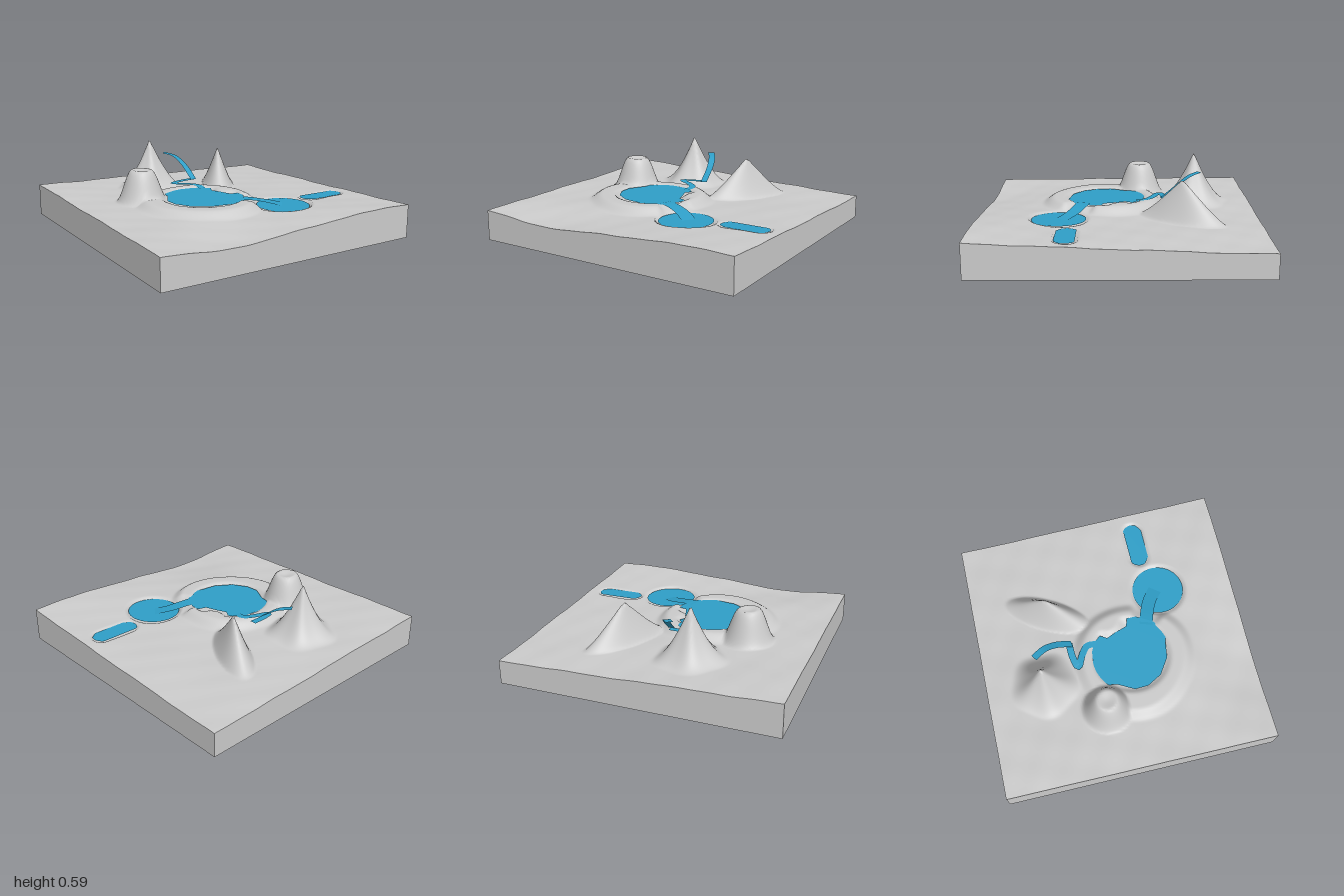
import * as THREE from 'three';

const { smoothstep, lerp } = THREE.MathUtils;
// smoothstep that falls from 1 at a to 0 at b
const fall = (v, a, b) => 1 - smoothstep(v, a, b);
const gauss = (v, w) => Math.exp(-(v * v) / (w * w));
const pondDistance = (x, z) => Math.hypot(x - THREE.MathUtils.clamp(x, 0.62, 0.84), z - 0.36);

// gently rolling ground
function ground(x, z) {
  const u = (x + 1) / 2, v = (z + 1) / 2;
  let y = lerp(lerp(0.24, 0.17, u), lerp(0.22, 0.235, u), v);
  y += smoothstep(z, 0.45, 1) * (0.022 * gauss(x - 0.7, 0.3) - 0.042 * gauss(x + 0.4, 0.38));
  y += 0.004 * Math.sin(7 * x + 3 * z) * Math.sin(6 * z - 2 * x + 1);
  y += 0.002 * Math.sin(19 * x - 8 * z) * Math.sin(17 * z + 5 * x);
  return y;
}

function terrainHeight(x, z) {
  const base = ground(x, z);

  // raised lake rim with an outlet gap
  const rx = x + 0.2, rz = z - 0.12, r = Math.hypot(rx, rz);
  const angle = Math.atan2(rz, rx);
  const gap = fall(Math.abs(angle - 0.49), 0.2, 0.36);
  const wobble = 0.012 * Math.sin(3 * angle + 1);
  const rim = lerp(fall(r + wobble, 0.37, 0.47), fall(r, 0.26, 0.44), gap);
  let y = lerp(base, 0.272, rim);

  // lake bed, with a small headland on its right shore
  const bed = fall(Math.hypot(x + 0.165, z - 0.105), 0.25, 0.31)
    * smoothstep(Math.hypot(x - 0.13, z + 0.01), 0.07, 0.14);
  y = lerp(y, Math.min(y, 0.235), bed);

  // pointed peak with shallow gullies
  const px = x + 0.24, pz = z + 0.57;
  const pd = Math.hypot(px, pz) * (1 + 0.05 * Math.cos(5 * Math.atan2(pz, px)));
  y = Math.max(y, base + 0.385 * Math.pow(Math.max(0, 1 - pd / 0.26), 1.7));

  // flat-topped hill
  const md = Math.hypot(x + 0.52, z + 0.16);
  y = Math.max(y, base + 0.235 * fall(md, 0.07, 0.195) - 0.012 * fall(md, 0, 0.08));

  // long sharp ridge
  const dx = x - 0.31, dz = z + 0.44;
  const along = dx * 0.49 - dz * 0.872, across = dx * 0.872 + dz * 0.49;
  const rd = Math.hypot(along / 0.34, across / 0.125);
  y = Math.max(y, base + 0.3 * Math.pow(Math.max(0, 1 - rd), 1.2));

  // beds of the two lower ponds
  const basin = fall(Math.hypot(x - 0.315, z - 0.435), 0.18, 0.22);
  const pool = fall(pondDistance(x, z), 0.06, 0.09);
  return lerp(y, Math.min(y, 0.195), Math.max(basin, pool));
}

// solid block whose top follows the terrain
function makeTerrain(material) {
  const n = 130;
  const geometry = new THREE.BoxGeometry(2, 1, 2, n, 1, n);
  const p = geometry.attributes.position;
  for (let i = 0; i < p.count; i++) {
    p.setY(i, p.getY(i) > 0 ? terrainHeight(p.getX(i), p.getZ(i)) : 0);
  }
  geometry.computeVertexNormals();
  const mesh = new THREE.Mesh(geometry, material);
  mesh.name = 'terrain';
  return mesh;
}

// flat sheet of water from an outline of [x, z] points
function makeWater(name, outline, y, material) {
  const shape = new THREE.Shape(outline.map(([x, z]) => new THREE.Vector2(x, -z)));
  const geometry = new THREE.ShapeGeometry(shape);
  geometry.rotateX(-Math.PI / 2);
  const mesh = new THREE.Mesh(geometry, material);
  mesh.position.y = y;
  mesh.name = name;
  return mesh;
}

// ribbon of flowing water, level across its width
function makeRibbon(name, points, width, material) {
  const curve = new THREE.CatmullRomCurve3(points.map((p) => new THREE.Vector3(...p)), false, 'centripetal');
  const steps = 40, positions = [], index = [];
  for (let i = 0; i <= steps; i++) {
    const c = curve.getPointAt(i / steps), t = curve.getTangentAt(i / steps);
    const side = new THREE.Vector3(-t.z, 0, t.x).normalize().multiplyScalar(width / 2);
    positions.push(c.x - side.x, c.y, c.z - side.z, c.x + side.x, c.y, c.z + side.z);
    if (i < steps) {
      const a = i * 2;
      index.push(a, a + 1, a + 2, a + 1, a + 3, a + 2);
    }
  }
  const geometry = new THREE.BufferGeometry();
  geometry.setAttribute('position', new THREE.Float32BufferAttribute(positions, 3));
  geometry.setIndex(index.map((_, i) => index[i - (i % 3) + [0, 2, 1][i % 3]]));
  geometry.computeVertexNormals();
  // keep the normals on the upper side
  if (geometry.attributes.normal.getY(0) < 0) {
    geometry.setIndex(index);
    geometry.computeVertexNormals();
  }
  const mesh = new THREE.Mesh(geometry, material);
  mesh.name = name;
  return mesh;
}

export function createModel() {
  const group = new THREE.Group();
  group.name = 'landscape';
  const land = new THREE.MeshStandardMaterial({ color: 0xcccccc });
  const water = new THREE.MeshStandardMaterial({ color: 0x2f9fc8, side: THREE.DoubleSide });

  group.add(makeTerrain(land));

  // upper lake
  group.add(makeWater('upperLake', [
    [-0.35, -0.16], [-0.2, -0.19], [-0.08, -0.175], [-0.01, -0.14], [0.03, -0.09], [0, -0.04],
    [0.03, 0.03], [0.06, 0.12], [0.12, 0.14], [0.12, 0.21], [0.05, 0.33], [-0.05, 0.4],
    [-0.12, 0.38], [-0.25, 0.36], [-0.37, 0.28], [-0.43, 0.17], [-0.435, 0.07], [-0.37, -0.05],
  ], 0.264, water));

  // lower lake
  const round = [], pond = [];
  for (let i = 0; i < 48; i++) {
    const a = (i / 48) * Math.PI * 2;
    round.push([0.315 + 0.19 * Math.cos(a), 0.435 + 0.195 * Math.sin(a)]);
    const end = Math.cos(a) > 0 ? 0.84 : 0.62;
    pond.push([end + 0.07 * Math.cos(a), 0.36 + (0.07 + 0.004 * Math.sin(5 * a)) * Math.sin(a)]);
  }
  group.add(makeWater('lowerLake', round, 0.213, water));
  group.add(makeWater('smallPond', pond, 0.213, water));

  // flowing water
  group.add(makeRibbon('waterfall', [
    [-0.1, 0.47, -0.6], [-0.045, 0.45, -0.52], [-0.01, 0.39, -0.43], [0.005, 0.295, -0.31],
  ], 0.05, water));
  group.add(makeRibbon('windingStream', [
    [0.01, 0.295, -0.33], [-0.1, 0.292, -0.325], [-0.18, 0.288, -0.3], [-0.09, 0.282, -0.25],
    [-0.03, 0.276, -0.2], [-0.03, 0.268, -0.12],
  ], 0.05, water));
  group.add(makeRibbon('outletStream', [
    [0.04, 0.266, 0.27], [0.13, 0.255, 0.3], [0.23, 0.235, 0.345], [0.33, 0.211, 0.42],
  ], 0.1, water));

  return group;
}
